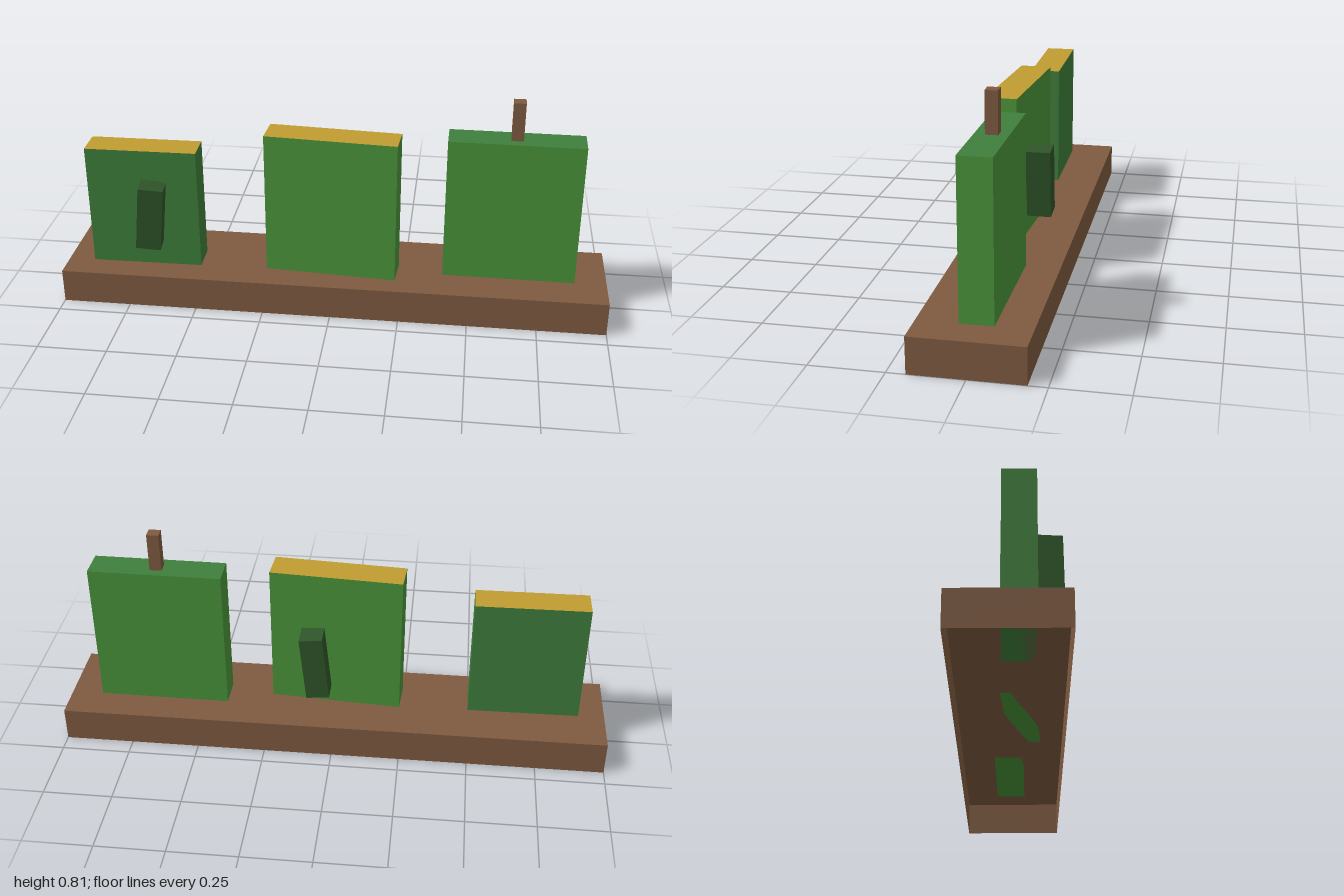
import * as THREE from 'three';

const mat = (name, color, extra = {}) =>
  Object.assign(new THREE.MeshStandardMaterial({ color, ...extra }), { name });

export function createModel() {
  const group = new THREE.Group();
  group.name = 'cactusPlanter';

  const brown = mat('brown', 0x7f5b41, { side: THREE.DoubleSide });
  const brightGreen = mat('brightGreen', 0x4a943a);
  const midGreen = mat('midGreen', 0x3f7f3c);
  const darkGreen = mat('darkGreen', 0x2f5529);
  const yellow = mat('yellow', 0xc09d31);

  const add = (name, geometry, material, position, rotation = [0, 0, 0]) => {
    const mesh = new THREE.Mesh(geometry, material);
    mesh.name = name;
    mesh.position.set(...position);
    mesh.rotation.set(...rotation);
    group.add(mesh);
    return mesh;
  };

  // Planter: a thin shell, open underneath
  const baseTop = 0.126;
  const shell = new THREE.BoxGeometry(2, baseTop, 0.374);
  const bottom = shell.groups[3];
  const index = Array.from(shell.index.array);
  index.splice(bottom.start, bottom.count);
  shell.setIndex(index);
  shell.clearGroups();
  add('planter', shell, brown, [0, baseTop / 2, 0]);

  // Upright slabs, each slightly turned, with a differently coloured top face
  const slab = (name, x, z, width, top, depth, turn, side, cap) => {
    const height = top - baseTop;
    add(name, new THREE.BoxGeometry(width, height, depth),
      [side, side, cap, side, side, side],
      [x, baseTop + height / 2, z], [0, turn, 0]);
  };
  slab('rightSlab', -0.7, 0.03, 0.408, 0.585, 0.11, 0.01, midGreen, yellow);
  slab('middleSlab', -0.005, 0.036, 0.48, 0.664, 0.112, -0.07, brightGreen, yellow);
  slab('leftSlab', 0.643, -0.009, 0.482, 0.664, 0.112, -0.008, brightGreen, midGreen);

  // Leaning offshoots, one on a front and one on a back
  add('frontOffshoot', new THREE.BoxGeometry(0.09, 0.24, 0.12), darkGreen,
    [-0.664, 0.35, 0.107], [0, 0.1, -0.095]);
  add('backOffshoot', new THREE.BoxGeometry(0.085, 0.252, 0.12), darkGreen,
    [0.07, 0.32, -0.04], [0, 0, -0.1]);

  // Short stem on the left slab
  add('stem', new THREE.BoxGeometry(0.043, 0.16, 0.042), brown, [0.643, 0.726, -0.01]);

  return group;
}
